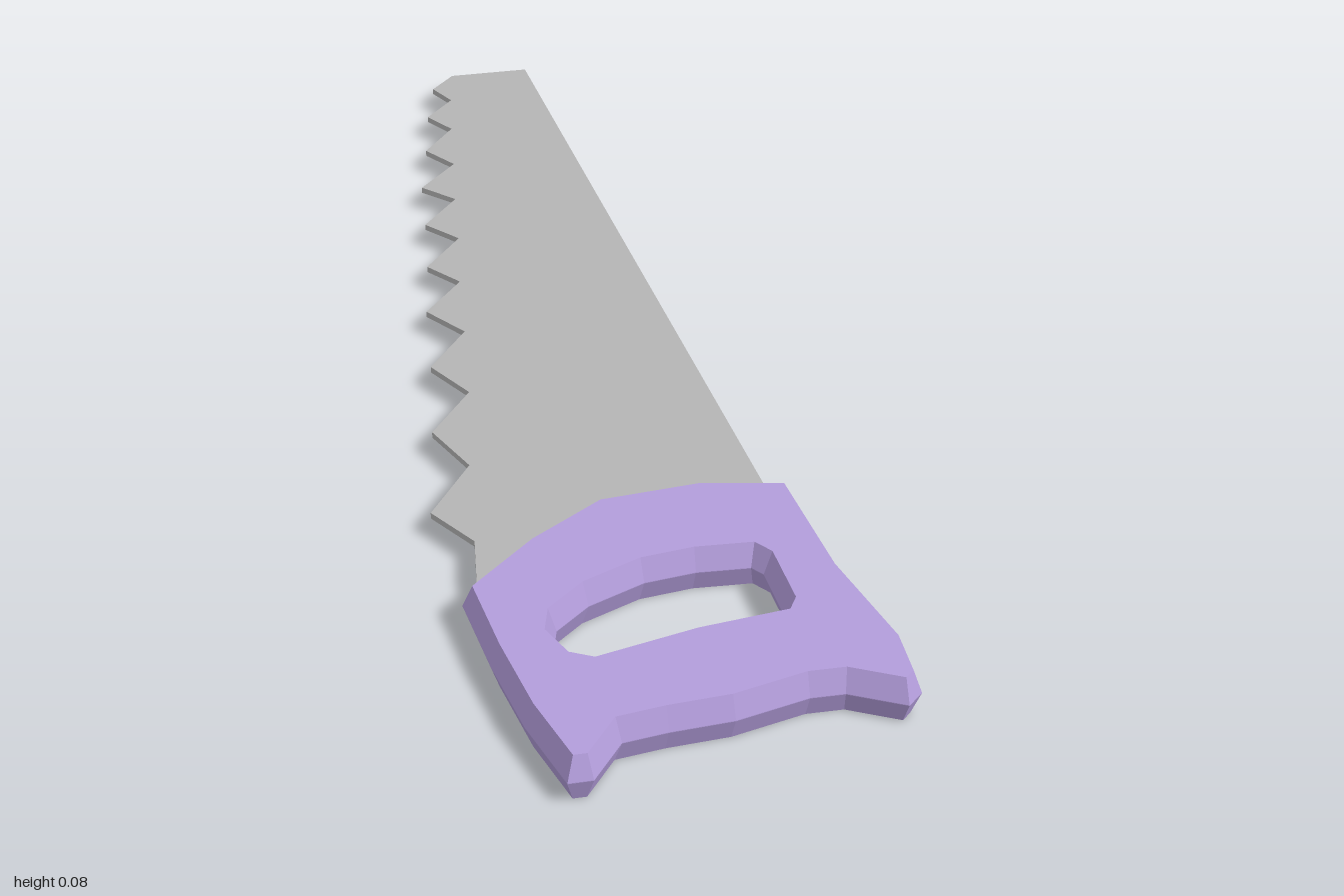
import * as THREE from 'three';

const purple = new THREE.MeshStandardMaterial({ name: 'purple', color: 0xb39ddb });
const steel = new THREE.MeshStandardMaterial({ name: 'steel', color: 0xb5b5b5 });

const toPoints = (list) => list.map(([x, z]) => new THREE.Vector2(x, z));

// Extrudes an outline drawn in (x, z) and lays it flat, centred on height y
function flatPart(name, shape, options, material, y) {
  const geometry = new THREE.ExtrudeGeometry(shape, options);
  geometry.translate(0, 0, -options.depth / 2);
  geometry.rotateX(Math.PI / 2);
  geometry.translate(0, y, 0);
  const mesh = new THREE.Mesh(geometry, material);
  mesh.name = name;
  return mesh;
}

export function createModel() {
  const group = new THREE.Group();
  group.name = 'handSaw';
  const midHeight = 0.0375;

  // Handle: widest at mid height, sloping inwards to both flat faces
  const handle = new THREE.Shape(toPoints([
    [-0.315, 0.572], [-0.19, 0.487], [-0.058, 0.425], [0.1, 0.434], [0.232, 0.48],
    [0.22, 0.7], [0.235, 0.885], [0.22, 0.97], [0.192, 0.99], [0.12, 0.938],
    [0.07, 0.93], [-0.045, 0.942], [-0.14, 0.935], [-0.208, 0.935], [-0.27, 0.995],
    [-0.306, 0.99], [-0.321, 0.86], [-0.322, 0.72],
  ]));
  // Grip opening, narrowest at mid height
  handle.holes.push(new THREE.Path(toPoints([
    [-0.225, 0.71], [-0.208, 0.673], [-0.145, 0.633], [-0.05, 0.607], [0.03, 0.608],
    [0.11, 0.624], [0.121, 0.645], [0.11, 0.75], [0.098, 0.765], [-0.035, 0.763],
    [-0.19, 0.777], [-0.213, 0.76],
  ])));
  const bevel = 0.013;
  group.add(flatPart('handle', handle, {
    depth: 0.001, bevelEnabled: true, bevelSegments: 1,
    bevelThickness: 0.037, bevelSize: bevel, bevelOffset: -bevel,
  }, purple, midHeight));

  // Blade: straight back edge, and teeth running from the tip to the handle
  const blade = new THREE.Shape(toPoints([
    [0.2, 0.54], [0.205, 0.48], [0.318, -0.98], [0.18, -1.0],
    [0.13, -0.96], [0.148, -0.907], [0.087, -0.857], [0.114, -0.8],
    [0.045, -0.735], [0.077, -0.672], [-0.003, -0.608], [0.04, -0.55],
    [-0.037, -0.481], [0.003, -0.418], [-0.077, -0.344], [-0.04, -0.28],
    [-0.122, -0.206], [-0.082, -0.127], [-0.167, -0.042], [-0.132, 0.048],
    [-0.222, 0.138], [-0.196, 0.243], [-0.29, 0.344], [-0.251, 0.434],
    [-0.29, 0.565],
  ]));
  group.add(flatPart('blade', blade, { depth: 0.01, bevelEnabled: false }, steel, midHeight));

  return group;
}
